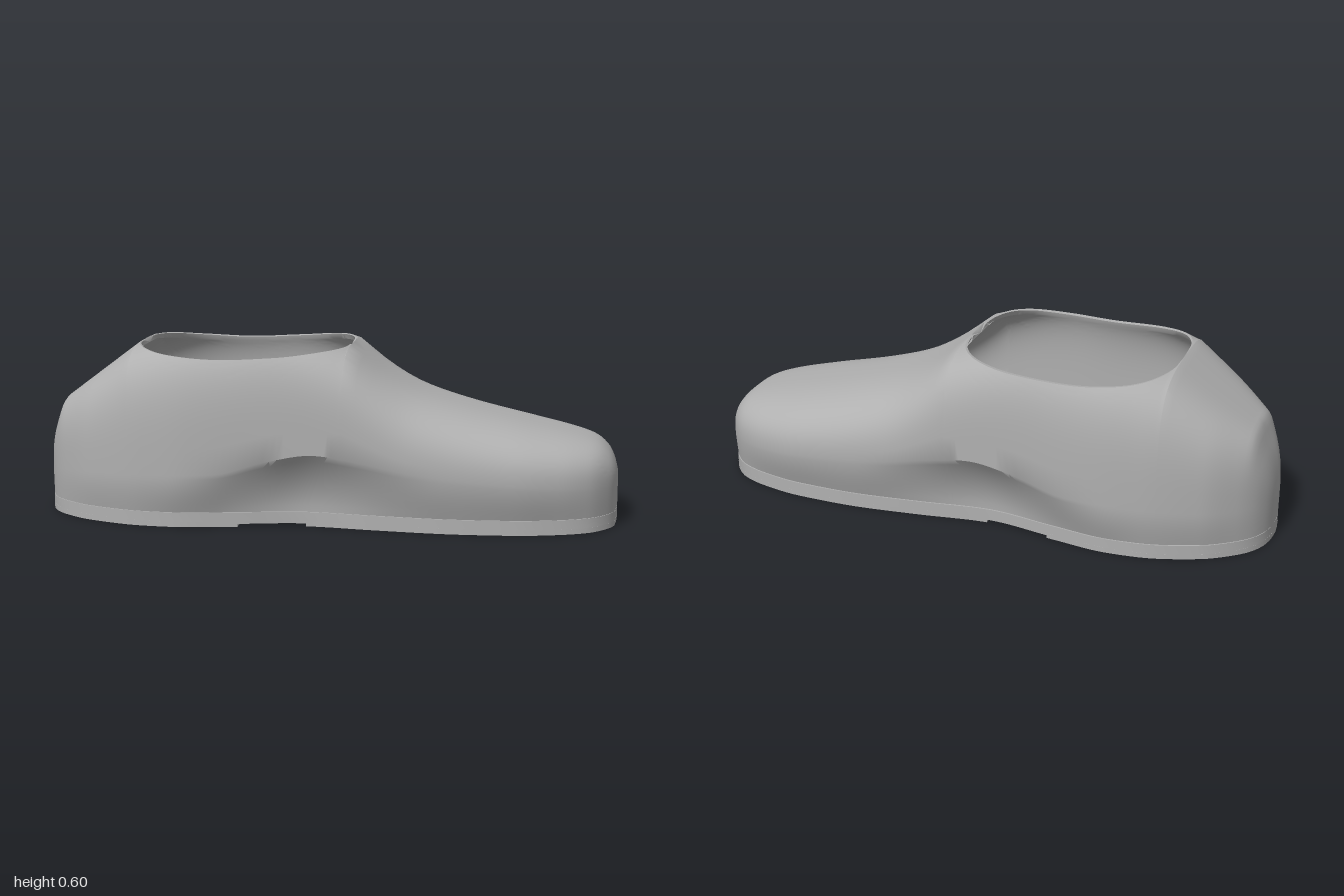
import * as THREE from 'three';
import { mergeGeometries, toCreasedNormals } from 'three/addons/utils/BufferGeometryUtils.js';

const grey = new THREE.MeshStandardMaterial({ color: 0xb0b0b0 });
grey.name = 'grey rubber';

// Smooth monotone curve through [x, value] pairs
function curve(p) {
  const d = p.slice(1).map((q, i) => (q[1] - p[i][1]) / (q[0] - p[i][0]));
  const m = p.map((_, i) => {
    if (i === 0) return d[0];
    if (i === p.length - 1) return d[i - 1];
    return d[i - 1] * d[i] <= 0 ? 0 : 2 * d[i - 1] * d[i] / (d[i - 1] + d[i]);
  });
  return x => {
    let i = 0;
    while (i < p.length - 2 && x > p[i + 1][0]) i++;
    const h = p[i + 1][0] - p[i][0];
    const t = Math.min(1, Math.max(0, (x - p[i][0]) / h));
    const t2 = t * t, t3 = t2 * t;
    return (2 * t3 - 3 * t2 + 1) * p[i][1] + (t3 - 2 * t2 + t) * h * m[i]
      + (3 * t2 - 2 * t3) * p[i + 1][1] + (t3 - t2) * h * m[i + 1];
  };
}

const soleHalf = curve([[-1, 0], [-0.995, 0.06], [-0.98, 0.115], [-0.95, 0.167], [-0.9, 0.215], [-0.8, 0.277],
  [-0.6, 0.333], [-0.5, 0.338], [-0.3, 0.308], [-0.05, 0.265], [0.2, 0.29], [0.45, 0.307], [0.65, 0.297],
  [0.8, 0.265], [0.9, 0.222], [0.96, 0.162], [0.99, 0.1], [1, 0]]);
const upperHalf = curve([[-1, 0], [-0.995, 0.06], [-0.98, 0.115], [-0.95, 0.17], [-0.9, 0.222], [-0.8, 0.29],
  [-0.6, 0.35], [-0.45, 0.364], [-0.2, 0.352], [0, 0.346], [0.2, 0.343], [0.45, 0.338], [0.65, 0.325],
  [0.8, 0.287], [0.9, 0.235], [0.96, 0.17], [0.99, 0.105], [1, 0]]);
const ridge = curve([[-1, 0.14], [-0.995, 0.2], [-0.98, 0.275], [-0.955, 0.345], [-0.93, 0.402], [-0.92, 0.4094],
  [-0.8, 0.498], [-0.67, 0.5946], [-0.66, 0.602], [-0.65, 0.6], [-0.52, 0.582], [-0.35, 0.573], [-0.15, 0.583],
  [0.08, 0.602], [0.11, 0.578], [0.2, 0.512], [0.33, 0.445], [0.5, 0.392], [0.7, 0.344], [0.88, 0.302],
  [0.93, 0.284], [0.97, 0.25], [0.99, 0.21], [1, 0.17]]);
const widestY = curve([[-1, 0.13], [-0.95, 0.16], [-0.6, 0.18], [-0.35, 0.19], [-0.18, 0.235], [-0.02, 0.262],
  [0.14, 0.24], [0.32, 0.205], [0.75, 0.165], [1, 0.15]]);
const boxiness = curve([[-1, 3.4], [-0.66, 3.8], [-0.2, 4.4], [0.08, 3.8], [0.3, 2.8], [0.55, 2.6], [1, 2.8]]);
const arch = curve([[-0.5, 0], [-0.05, 1], [0.4, 0.15]]);

const BACK = -0.66, FRONT = 0.08, BASE = 0.05;
const opening = x => {
  const t = Math.min(1, Math.abs((2 * x - BACK - FRONT) / (FRONT - BACK)));
  return 0.318 * (1 - t ** 3) ** (1 / 3);
};

// Half cross-section from the sole up to the ridge or the collar
const LOW = 9, HIGH = 22;
function section(x) {
  const S = Math.max(0, soleHalf(x) - 0.005), W = upperHalf(x), yw = widestY(x), n = boxiness(x), zo = opening(x);
  const pts = [];
  for (let j = 0; j < LOW; j++) {
    const t = j / LOW;
    const round = Math.sin(t * Math.PI / 2), hollow = t ** 1.9;
    const k = THREE.MathUtils.lerp(round, hollow, arch(x));
    pts.push(new THREE.Vector3(x, BASE + (yw - BASE) * t, S + (W - S) * k));
  }
  const ratio = W > 0 ? Math.min(0.98, zo / W) : 0;
  const end = Math.acos(ratio ** (n / 2));
  const scale = Math.sin(end) ** (2 / n);
  for (let j = 0; j <= HIGH; j++) {
    const a = end * j / HIGH;
    const z = j === HIGH ? ratio * W : W * Math.abs(Math.cos(a)) ** (2 / n);
    pts.push(new THREE.Vector3(x, yw + (ridge(x) - yw) * Math.sin(a) ** (2 / n) / scale, z));
  }
  return pts;
}

// Skin a list of equal-length rows; mirrored rows get flipped faces
function skin(rows, mirror) {
  const n = rows[0].length, pos = [], idx = [];
  rows.forEach(r => r.forEach(p => pos.push(p.x, p.y, mirror ? -p.z : p.z)));
  for (let i = 0; i < rows.length - 1; i++) for (let j = 0; j < n - 1; j++) {
    const a = i * n + j, b = a + n, c = b + 1, d = a + 1;
    idx.push(...(mirror ? [a, c, b, a, d, c] : [a, b, c, a, c, d]));
  }
  const g = new THREE.BufferGeometry();
  g.setAttribute('position', new THREE.Float32BufferAttribute(pos, 3));
  g.setIndex(idx);
  g.computeVertexNormals();
  return g;
}

// Thick-walled upper with a collar opening
function upperGeometry() {
  const xs = [];
  for (let i = 0; i < 30; i++) xs.push(-1 + (BACK + 1) * (i / 30) ** 2);
  for (let i = 0; i < 44; i++) xs.push((BACK + FRONT) / 2 - (FRONT - BACK) / 2 * Math.cos(Math.PI * i / 44));
  for (let i = 0; i <= 40; i++) xs.push(1 - (1 - FRONT) * (1 - i / 40) ** 2);
  const outer = xs.map(section);
  const normals = skin(outer, false).attributes.normal;
  const v = new THREE.Vector3(), n = outer[0].length;
  const rows = outer.map((row, i) => {
    const inner = row.map((p, j) => {
      v.fromBufferAttribute(normals, i * n + j);
      if (j === n - 1 && p.z < 1e-4) v.z = 0;
      const q = p.clone().addScaledVector(v.normalize(), -0.018);
      q.z = Math.max(0, q.z);
      if (j === n - 1 && p.z > 0) q.y = p.y - 0.002;
      return q;
    });
    return [...row, ...inner.reverse()];
  });
  return toCreasedNormals(mergeGeometries([skin(rows, false), skin(rows, true)]), 0.6);
}

// Closed sole outline between two x positions
function outline(x0, x1, inset = 0) {
  const pts = [], N = 48;
  for (let i = 0; i <= N; i++) {
    const x = (x0 + x1) / 2 - (x1 - x0) / 2 * Math.cos(Math.PI * i / N);
    pts.push(new THREE.Vector2(x, Math.max(0.001, soleHalf(x) - inset)));
  }
  return [...pts.map(p => new THREE.Vector2(p.x, -p.y)), ...pts.reverse()];
}
const squareHole = (x, z, r = 0.013) => new THREE.Path(
  [[-r, -r], [-r, r], [r, r], [r, -r]].map(([a, b]) => new THREE.Vector2(x + a, b - z)));

function slab(shape, y0, y1) {
  const g = new THREE.ExtrudeGeometry(shape, { depth: y1 - y0, bevelEnabled: false, curveSegments: 20 });
  return toCreasedNormals(g.rotateX(-Math.PI / 2).translate(0, y0, 0), 0.6);
}

export function createModel() {
  const group = new THREE.Group();
  const add = (name, geometry, parent = group) => {
    const m = new THREE.Mesh(geometry, grey);
    m.name = name;
    parent.add(m);
    return m;
  };
  const sub = name => {
    const g = new THREE.Group();
    g.name = name;
    group.add(g);
    return g;
  };

  add('upper', upperGeometry());

  // Sole plate with small through holes
  const drains = [[-0.55, 0], [-0.23, 0], [0.04, 0.19], [0.04, -0.19]];
  const plate = new THREE.Shape(outline(-1, 1));
  drains.forEach(([x, z]) => plate.holes.push(squareHole(x, z)));
  add('solePlate', slab(plate, 0.018, BASE));
  const waist = new THREE.Shape(outline(-0.28, -0.05));
  waist.holes.push(squareHole(-0.23, 0));
  add('waistPanel', slab(waist, 0.01, 0.018));

  // Raised tread borders and zigzag ribs on heel and forefoot
  const tread = sub('tread');
  for (const [x0, x1] of [[-1, -0.28], [-0.05, 1]]) {
    const border = new THREE.Shape(outline(x0, x1));
    border.holes.push(new THREE.Path(outline(x0 + 0.018, x1 - 0.018, 0.018)));
    add('treadBorder', slab(border, 0, 0.018), tread);
    for (let x = x0 + 0.1; x < x1 - 0.06; x += 0.13) for (let k = -3; k < 3; k++) {
      const s = k % 2 ? 1 : -1, zc = (k + 0.5) * 0.1;
      if (Math.abs(zc) + 0.065 > Math.min(soleHalf(x - 0.05), soleHalf(x + 0.05))) continue;
      const rib = add('treadRib', new THREE.BoxGeometry(0.016, 0.014, 0.135), tread);
      rib.position.set(x, 0.012, zc);
      rib.rotation.y = s * 0.72;
    }
  }

  // Round studs, the drained ones pierced
  const studs = sub('studs');
  const solid = [[-0.77, 0.18], [-0.77, -0.18], [0.2, 0], [0.36, 0.2], [0.36, -0.2], [0.52, 0],
    [0.7, 0.19], [0.7, -0.19], [0.84, 0]];
  for (const [x, z] of [...drains, ...solid]) {
    const disc = new THREE.Shape().absarc(x, -z, 0.042, 0, Math.PI * 2);
    disc.holes.push(squareHole(x, z));
    add('stud', slab(disc, 0, 0.02), studs);
  }

  // Rings and buttons on the inner floor
  const floor = sub('floorDetails');
  for (const [x, z] of [[-0.55, 0.225], [-0.55, -0.225], [-0.39, 0], [-0.015, 0]]) {
    const ring = add('floorRing', new THREE.TorusGeometry(0.034, 0.005, 8, 28), floor);
    ring.rotation.x = Math.PI / 2;
    ring.position.set(x, BASE, z);
  }
  for (const [x, z] of [[-0.35, 0.255], [-0.35, -0.255], [-0.105, 0.14], [-0.105, -0.14]])
    add('floorButton', new THREE.CylinderGeometry(0.02, 0.02, 0.024, 20), floor).position.set(x, BASE, z);

  return group;
}
